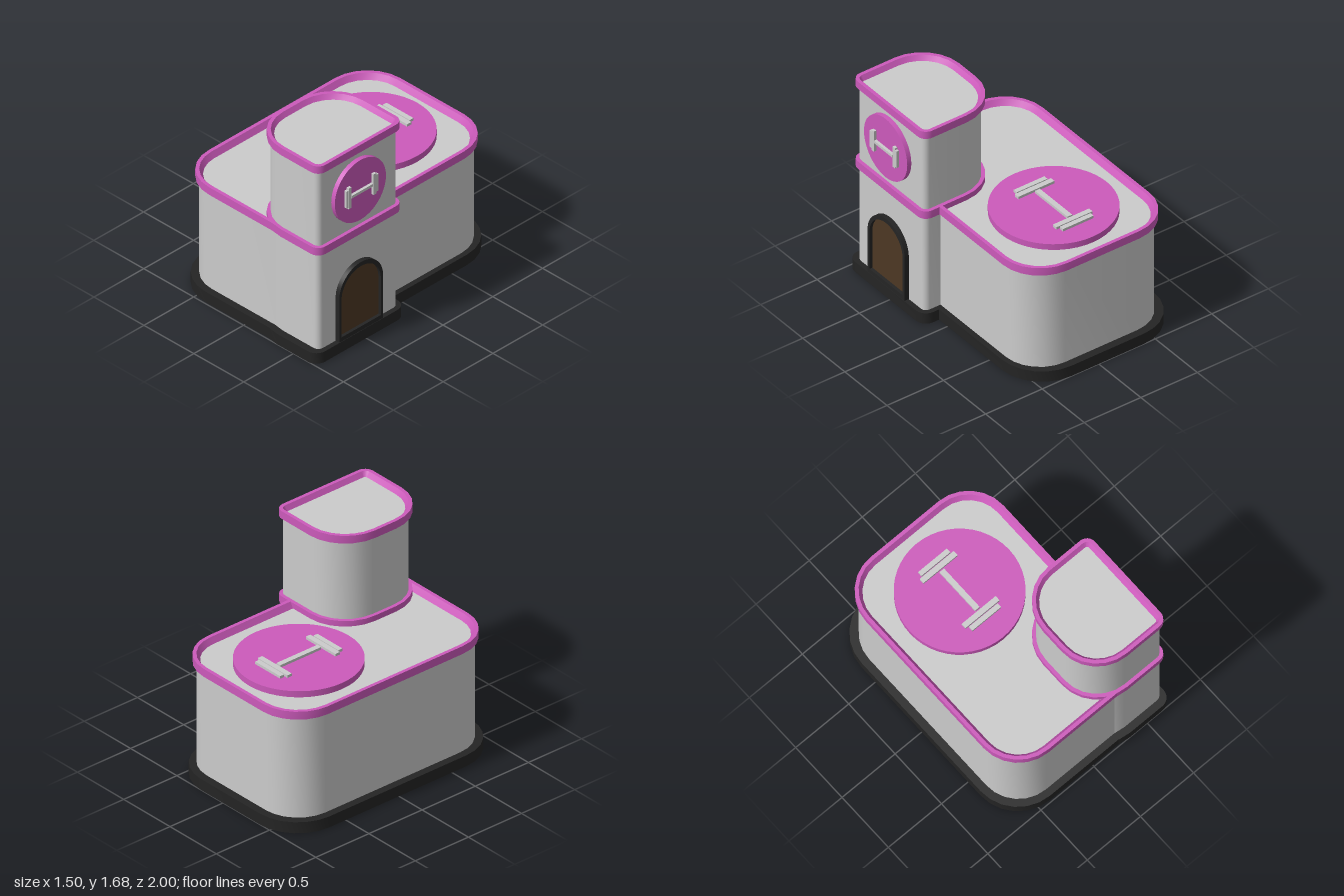
import * as THREE from 'three';
import { toCreasedNormals } from 'three/addons/utils/BufferGeometryUtils.js';

const material = (color) => new THREE.MeshStandardMaterial({ color });
const grey = material(0xcccccc);
const pink = material(0xcc5abb);
const black = material(0x242424);
const brown = material(0x4d3823);

// Footprints: x and z limits, corner radius on the right (+x) and left (-x) side
const hall = { x0: -0.69, x1: 0.55, z0: -0.937, z1: 0.93, rRight: 0.3, rLeft: 0.3 };
const tower = { x0: 0.038, x1: 0.69, z0: 0.14, z1: 0.942, rRight: 0.045, rLeft: 0.3 };
const hallBase = { x0: -0.75, x1: 0.592, z0: -1, z1: 0.985, rRight: 0.35, rLeft: 0.35 };
const towerBase = { x0: 0.0, x1: 0.73, z0: 0.1, z1: 1, rRight: 0.085, rLeft: 0.34 };

// Rounded footprint as points (x, -z), counterclockwise seen from above, grown by offset
function outline(f, offset = 0) {
  const corners = [
    [f.x1 - f.rRight, -f.z0 - f.rRight, f.rRight],
    [f.x0 + f.rLeft, -f.z0 - f.rLeft, f.rLeft],
    [f.x0 + f.rLeft, -f.z1 + f.rLeft, f.rLeft],
    [f.x1 - f.rRight, -f.z1 + f.rRight, f.rRight],
  ];
  const points = [];
  corners.forEach(([cx, cy, r], k) => {
    for (let i = 0; i <= 6; i++) {
      const a = (k + i / 6) * Math.PI / 2;
      points.push(new THREE.Vector2(cx + (r + offset) * Math.cos(a), cy + (r + offset) * Math.sin(a)));
    }
  });
  return points;
}

// Upright prism over a footprint
function prism(f, y0, y1) {
  const g = new THREE.ExtrudeGeometry(new THREE.Shape(outline(f)), { depth: y1 - y0, bevelEnabled: false });
  g.rotateX(-Math.PI / 2).translate(0, y0, 0);
  return toCreasedNormals(g, 0.6);
}

// Parapet band: upright outside, flat top, sloping inside
function parapet(f, y0, y1) {
  const rings = [[0.028, y0], [0.028, y1], [0, y1], [-0.03, y0 + 0.015]]
    .map(([offset, y]) => outline(f, offset).map((p) => [p.x, y, -p.y]));
  const positions = [];
  rings.forEach((ring, k) => {
    const next = rings[(k + 1) % rings.length];
    ring.forEach((a, i) => {
      const j = (i + 1) % ring.length;
      positions.push(...a, ...ring[j], ...next[j], ...a, ...next[j], ...next[i]);
    });
  });
  const g = new THREE.BufferGeometry();
  g.setAttribute('position', new THREE.Float32BufferAttribute(positions, 3));
  return toCreasedNormals(g, 0.6);
}

// Arched outline with its foot at y0
function arch(Type, halfWidth, y0, spring) {
  const s = new Type();
  s.moveTo(-halfWidth, y0);
  s.lineTo(halfWidth, y0);
  s.lineTo(halfWidth, spring);
  s.absarc(0, spring, halfWidth, 0, Math.PI, false);
  s.closePath();
  return s;
}

// Sign facing +z: round plate with a barbell on it
function createSign(radius, thickness, relief, bar, plates) {
  const sign = new THREE.Group();
  const disc = new THREE.Mesh(new THREE.CylinderGeometry(radius, radius, thickness, 48), pink);
  disc.name = 'signDisc';
  disc.rotation.x = Math.PI / 2;
  disc.position.z = thickness / 2;
  sign.add(disc);
  const addBox = (name, w, h, x) => {
    const mesh = new THREE.Mesh(new THREE.BoxGeometry(w, h, relief + 0.01), grey);
    mesh.name = name;
    mesh.position.set(x, 0, thickness + (relief - 0.01) / 2);
    sign.add(mesh);
  };
  addBox('barbellBar', bar[0], bar[1], 0);
  for (const side of [-1, 1]) {
    for (const [w, h, x] of plates) addBox('barbellPlate', w, h, side * x);
  }
  return sign;
}

export function createModel() {
  const model = new THREE.Group();
  model.name = 'gymBuilding';
  const add = (name, geometry, mat) => {
    const mesh = new THREE.Mesh(geometry, mat);
    mesh.name = name;
    model.add(mesh);
    return mesh;
  };

  // Plinth
  add('hallBase', prism(hallBase, 0, 0.09), black);
  add('towerBase', prism(towerBase, 0, 0.09), black);

  // Walls and flat roofs
  add('hallWalls', prism(hall, 0.08, 0.935), grey);
  add('towerWalls', prism(tower, 0.08, 1.645), grey);

  // Parapets
  add('hallParapet', parapet(hall, 0.915, 0.98), pink);
  add('towerBand', parapet(tower, 0.915, 0.98), pink);
  add('towerParapet', parapet(tower, 1.62, 1.683), pink);

  // Arched door on the tower's left wall
  const door = new THREE.Group();
  door.name = 'door';
  const frameShape = arch(THREE.Shape, 0.22, 0.085, 0.46);
  frameShape.holes.push(arch(THREE.Path, 0.197, 0.125, 0.448));
  const extrude = (shape, depth) => toCreasedNormals(
    new THREE.ExtrudeGeometry(shape, { depth, bevelEnabled: false, curveSegments: 20 }), 0.6);
  const frame = new THREE.Mesh(extrude(frameShape, 0.045), black);
  frame.name = 'doorFrame';
  const panel = new THREE.Mesh(extrude(arch(THREE.Shape, 0.2, 0.12, 0.448), 0.02), brown);
  panel.name = 'doorPanel';
  door.add(frame, panel);
  door.rotation.y = Math.PI / 2;
  door.position.set(0.682, 0, 0.548);
  model.add(door);

  // Sign on the tower wall
  const wallSign = createSign(0.257, 0.04, 0.022, [0.214, 0.022],
    [[0.028, 0.177, 0.125], [0.02, 0.145, 0.15]]);
  wallSign.name = 'wallSign';
  wallSign.rotation.y = Math.PI / 2;
  wallSign.position.set(0.686, 1.303, 0.555);
  model.add(wallSign);

  // Sign lying on the hall roof
  const roofSign = createSign(0.468, 0.053, 0.021, [0.385, 0.042],
    [[0.042, 0.32, 0.226], [0.038, 0.27, 0.274]]);
  roofSign.name = 'roofSign';
  roofSign.rotation.set(-Math.PI / 2, 0, Math.PI / 2);
  roofSign.position.set(-0.08, 0.932, -0.358);
  model.add(roofSign);

  return model;
}
